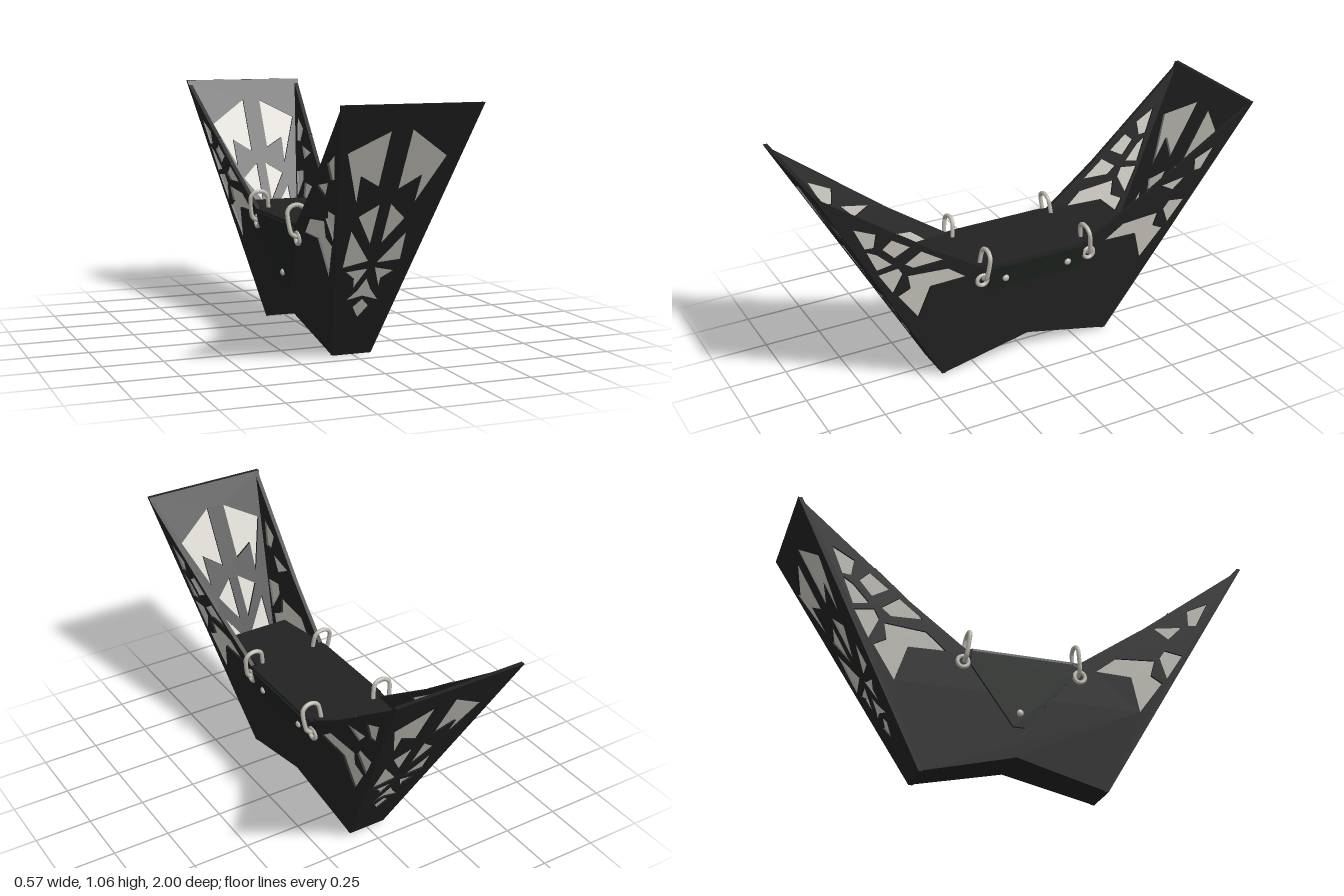
import * as THREE from 'three';

const H = 1.06, T = 0.018;
const halfWidth = y => 0.085 + 0.2 * y / H;   // side walls lean outward
const endZ = y => 0.41 + 0.59 * y / H;        // end walls lean outward

const mat = (name, color, side = THREE.FrontSide) => {
  const m = new THREE.MeshStandardMaterial({ color, side });
  m.name = name;
  return m;
};

// Outlines of the end wall windows (x, y)
const endWindows = [
  [-0.062, 0.96, -0.22, 0.877, -0.135, 0.667, -0.143, 0.785, -0.06, 0.74],
  [0.02, 0.965, 0.19, 0.855, 0.102, 0.66, 0.104, 0.78, 0.02, 0.725],
  [-0.037, 0.67, -0.116, 0.62, -0.037, 0.497],
  [0.006, 0.67, 0.082, 0.604, 0.006, 0.497],
  [-0.132, 0.565, -0.027, 0.427, -0.132, 0.403],
  [0.105, 0.55, 0.11, 0.427, 0.006, 0.417],
  [-0.113, 0.385, -0.02, 0.395, -0.065, 0.305, -0.073, 0.354],
  [0.006, 0.398, 0.093, 0.379, 0.046, 0.348, 0.046, 0.303],
  [-0.017, 0.354, 0.014, 0.3, 0.056, 0.25, -0.014, 0.272, -0.085, 0.255, -0.045, 0.3],
  [-0.014, 0.26, 0.022, 0.224, -0.014, 0.173, -0.048, 0.224],
];
// Outlines of the side wall windows (z, y) for one end
const sideWindows = [
  [0.842, 0.877, 0.745, 0.83, 0.752, 0.765, 0.79, 0.768],
  [0.654, 0.808, 0.59, 0.728, 0.66, 0.69, 0.718, 0.75],
  [0.785, 0.755, 0.74, 0.73, 0.668, 0.66, 0.735, 0.648],
  [0.525, 0.71, 0.44, 0.622, 0.574, 0.617, 0.617, 0.648],
  [0.73, 0.627, 0.645, 0.638, 0.622, 0.6, 0.66, 0.515],
  [0.6, 0.587, 0.42, 0.573, 0.33, 0.504, 0.493, 0.5, 0.54, 0.355, 0.638, 0.493, 0.585, 0.52],
];
const mirrorS = a => a.map((v, i) => (i % 2 ? v : -v));

function points(a) {
  const out = [];
  for (let i = 0; i < a.length; i += 2) out.push(new THREE.Vector2(a[i], a[i + 1]));
  return out;
}
const shapeOf = a => new THREE.Shape(points(a));

// Moves every vertex (s, y, t) to the place given by a rule
function mapGeometry(geo, rule) {
  const p = geo.attributes.position;
  for (let i = 0; i < p.count; i++) p.setXYZ(i, ...rule(p.getX(i), p.getY(i), p.getZ(i)));
  geo.computeVertexNormals();
  return geo;
}
const onEnd = (s, y, t) => [s, y, endZ(y) + t];
const onSide = (s, y, t) => [halfWidth(y) + t, y, -s];

export function createModel() {
  const model = new THREE.Group();
  model.name = 'cradle';
  const shell = mat('black shell', 0x222222);
  const shellOpen = mat('black floor', 0x222222, THREE.DoubleSide);
  const pane = mat('pale window', 0xc9c7be, THREE.DoubleSide);
  const strap = mat('dark green strap', 0x1d231f);
  const metal = mat('metal', 0xbdb9af);

  const add = (parent, name, geo, material) => {
    const mesh = new THREE.Mesh(geo, material);
    mesh.name = name;
    parent.add(mesh);
    return mesh;
  };
  const plate = (shape, depth, offset, rule) => mapGeometry(
    new THREE.ExtrudeGeometry(shape, { depth, bevelEnabled: false }),
    (s, y, t) => rule(s, y, t + offset));

  // A pierced wall with panes set in its thickness
  function wall(name, outline, windows, rule) {
    const g = new THREE.Group();
    g.name = name;
    const shape = shapeOf(outline);
    for (const w of windows) shape.holes.push(new THREE.Path(points(w)));
    add(g, name + 'Plate', plate(shape, T, -T, rule), shell);
    const panes = new THREE.ShapeGeometry(windows.map(shapeOf));
    add(g, name + 'Windows', mapGeometry(panes, (s, y) => rule(s, y, -T / 2)), pane);
    return g;
  }

  const sideOutline = [-0.41, 0, 0, 0.1, 0.41, 0, 1, H, 0.5, 0.69, 0.25, 0.525,
    -0.25, 0.525, -0.5, 0.69, -1, H];
  const endOutline = [-0.085, 0, 0.085, 0, 0.285, H, -0.285, H];
  const bothEnds = sideWindows.concat(sideWindows.map(mirrorS));
  for (const [i, end, side] of [[0, 'front', 'left'], [1, 'back', 'right']]) {
    const e = wall(end + 'Wall', endOutline, endWindows, onEnd);
    const s = wall(side + 'Wall', sideOutline, bothEnds, onSide);
    e.rotation.y = s.rotation.y = i * Math.PI;
    model.add(e, s);
  }

  // Folded underside
  add(model, 'underside', mapGeometry(new THREE.PlaneGeometry(2, 0.82, 1, 2), (u, v) => {
    const y = 0.1 * (1 - Math.abs(v) / 0.41);
    return [u * halfWidth(y), y, v];
  }), shellOpen);

  // Seat deck, full width in the middle and narrower toward the ends
  const deck = shapeOf([-0.14, -0.51, 0.14, -0.51, 0.16, -0.24, 0.187, -0.22, 0.187, 0.22,
    0.16, 0.24, 0.14, 0.51, -0.14, 0.51, -0.16, 0.24, -0.187, 0.22, -0.187, -0.22]);
  const deckGeo = new THREE.ExtrudeGeometry(deck, { depth: 0.02, bevelEnabled: false });
  deckGeo.rotateX(-Math.PI / 2);
  deckGeo.translate(0, 0.508, 0);
  add(model, 'seatDeck', deckGeo, shell);

  // Straps folded over the rims: a short band on one side, a pointed flap on the other
  const leftStrap = new THREE.Group();
  const rightStrap = new THREE.Group();
  leftStrap.name = 'leftStrap';
  rightStrap.name = 'rightStrap';
  rightStrap.rotation.y = Math.PI;
  add(leftStrap, 'band', plate(shapeOf([-0.21, 0.405, 0.21, 0.405, 0.225, 0.42, 0.225, 0.515,
    -0.225, 0.515, -0.225, 0.42]), 0.01, 0.001, onSide), strap);
  add(rightStrap, 'flap', plate(shapeOf([-0.025, 0.222, 0.025, 0.222, 0.225, 0.46, 0.225, 0.515,
    -0.225, 0.515, -0.225, 0.46]), 0.01, 0.001, onSide), strap);
  const stud = (parent, y, z) => {
    const m = add(parent, 'stud', new THREE.SphereGeometry(0.015, 14, 10), metal);
    m.scale.x = 0.7;
    m.position.set(halfWidth(y) + 0.013, y, z);
  };
  stud(leftStrap, 0.453, 0.15);
  stud(leftStrap, 0.453, -0.15);
  stud(rightStrap, 0.28, 0);
  model.add(leftStrap, rightStrap);

  // Oval links through eyelets at the four rim corners
  const oval = [];
  for (let i = 0; i < 16; i++) {
    const a = i / 16 * Math.PI * 2;
    oval.push(new THREE.Vector3(0.04 * Math.cos(a),
      0.033 * Math.sin(a) + (Math.sin(a) >= 0 ? 0.033 : -0.033), 0));
  }
  const linkGeo = new THREE.TubeGeometry(new THREE.CatmullRomCurve3(oval, true), 48, 0.0095, 8, true);
  const eyeletGeo = new THREE.TorusGeometry(0.024, 0.009, 8, 24);
  for (const sx of [-1, 1]) for (const sz of [-1, 1]) {
    const link = add(model, 'link', linkGeo, metal);
    link.position.set(sx * 0.172, 0.538, sz * 0.243);
    link.rotation.set(-sz * 0.12, 0, -sx * 0.12);
    const eyelet = add(model, 'eyelet', eyeletGeo, metal);
    eyelet.position.set(sx * (halfWidth(0.468) + 0.004), 0.468, sz * 0.257);
    eyelet.rotation.y = Math.PI / 2;
  }
  return model;
}
